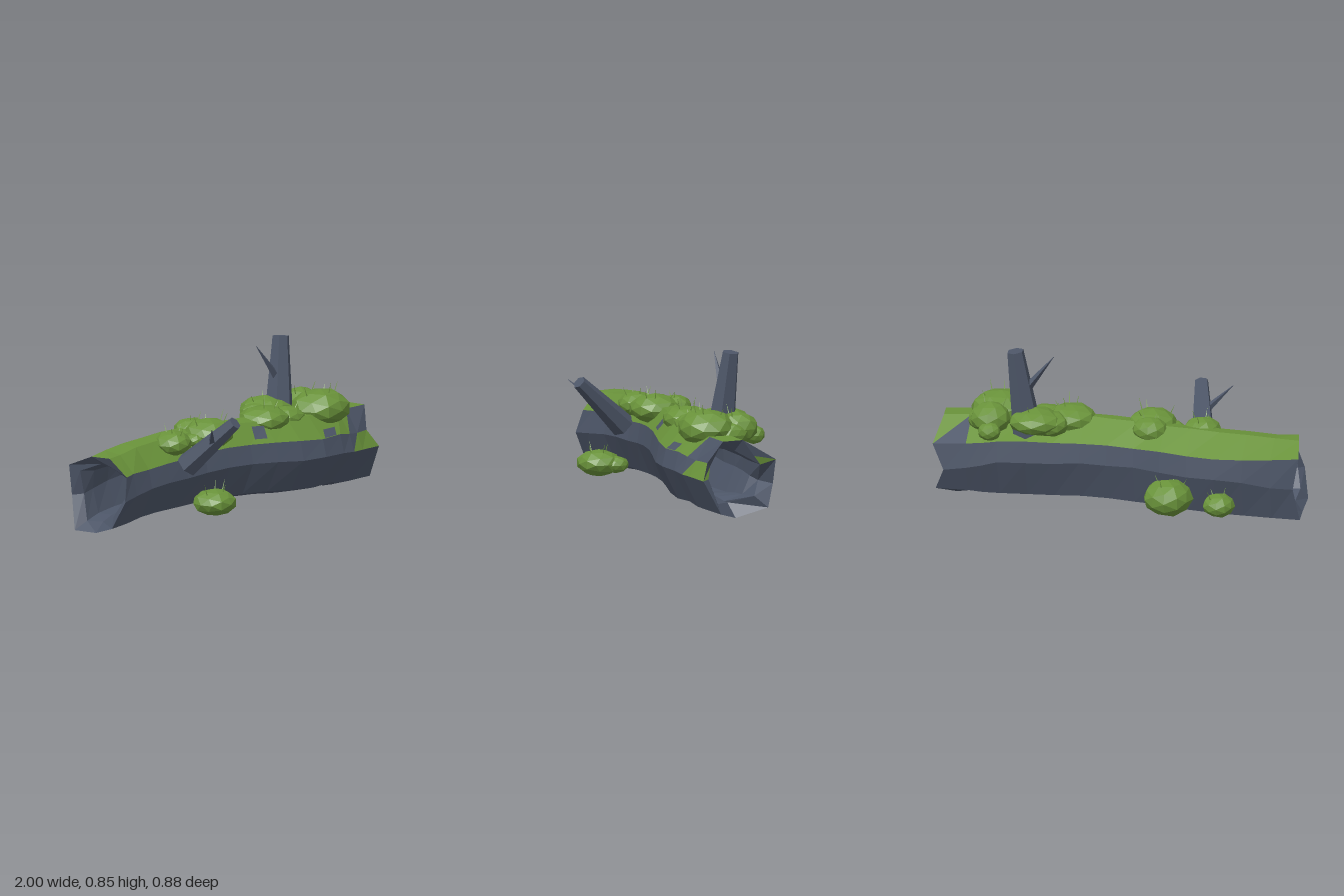
import * as THREE from 'three';

const bark = new THREE.MeshStandardMaterial({ name: 'bark grey', color: 0x4d5668, flatShading: true });
const moss = new THREE.MeshStandardMaterial({ name: 'moss green', color: 0x69923a, flatShading: true });

let seed = 7;
const rand = () => (seed = (seed * 16807) % 2147483647) / 2147483647;
const jitter = (a) => (rand() - 0.5) * 2 * a;
const { lerp, smoothstep } = THREE.MathUtils;
const mix = (a, b, t) => a.map((v, c) => lerp(v, b[c], t));

// Cross-sections of the trunk as [z offset, y], from the top over the back and round to the front edge
const LEFT = [[0.07, 0.43], [-0.04, 0.43], [-0.18, 0.37], [-0.185, 0.2], [-0.14, 0.018], [0, 0.02], [0.12, 0.06], [0.19, 0.21], [0.165, 0.335]];
const MIDDLE = [[0.09, 0.45], [0, 0.46], [-0.18, 0.36], [-0.19, 0.25], [-0.11, 0.045], [0.02, 0.04], [0.12, 0.07], [0.2, 0.24], [0.18, 0.342]];
const RIGHT = [[0.1, 0.43], [-0.02, 0.43], [-0.2, 0.32], [-0.21, 0.18], [-0.16, 0.06], [-0.01, 0], [0.12, 0.04], [0.21, 0.22], [0.165, 0.31]];
// Ragged x offsets of the broken ends
const LEFT_RAG = [0.04, 0.02, 0, 0.03, 0, 0.01, 0, 0.03, 0.07];
const RIGHT_RAG = [-0.02, -0.03, 0, -0.06, -0.01, -0.1, 0, -0.03, -0.08];
// Trunk path: x, z centre, lift, width scale
const PATH = [
  [-1, -0.03, 0, 1], [-0.85, -0.055, 0, 1], [-0.7, -0.08, 0, 1], [-0.55, -0.088, 0, 1.02], [-0.4, -0.08, 0.005, 0.98],
  [-0.25, -0.06, 0.012, 0.93], [-0.1, -0.025, 0.016, 0.9], [0.05, 0.005, 0.016, 0.92], [0.2, 0.04, 0.01, 1],
  [0.35, 0.07, 0, 1.1], [0.5, 0.09, -0.005, 1.15], [0.65, 0.09, -0.005, 1.13], [0.74, 0.088, -0.005, 1.1],
  [0.82, 0.085, -0.005, 1.06], [1, 0.08, 0, 1],
];

function section([x, zc, lift, w], inner) {
  const end = x < 0 ? LEFT : RIGHT;
  const k = smoothstep(Math.abs(x), 0.55, 1);
  const atEnd = Math.abs(x) === 1;
  return MIDDLE.map(([mz, my], j) => {
    let z = lerp(mz, end[j][0], k) * w;
    let y = lerp(my, end[j][1], k) + lift;
    let px = x;
    if (atEnd) px += (x < 0 ? LEFT_RAG : RIGHT_RAG)[j];
    else y += jitter(0.005);
    if (inner) {
      const s = atEnd ? 0.74 + jitter(0.07) : 0.68 + jitter(0.02);
      z = z * s + 0.015;
      y = 0.235 + (y - 0.235) * (s - 0.03);
      if (atEnd) px -= Math.sign(x) * (0.03 + 0.04 * rand());
    }
    return [px, y, zc + z];
  });
}

// Which of the two triangles of a trunk quad carry moss (segment i, strip j)
function mossy(i, j, n) {
  if (i === n - 1) return [j === 7, false]; // torn rim
  if (i >= n) return [false, false]; // inside
  const last = i === n - 2, beforeLast = i === n - 3;
  if (j === 0) return [true, true];
  if (j === 1) return [true, !last];
  if (j === 8) return [!last && !beforeLast, !last];
  if (j === 7) return [last || beforeLast, last];
  return [false, false];
}

function meshFrom(positions, material, name) {
  const g = new THREE.BufferGeometry();
  g.setAttribute('position', new THREE.Float32BufferAttribute(positions, 3));
  g.computeVertexNormals();
  const m = new THREE.Mesh(g, material);
  m.name = name;
  return m;
}

// Hollow trunk: outer rings, then inner rings back again, closed into a loop
function trunk() {
  const n = PATH.length, sides = MIDDLE.length;
  const rings = [...PATH.map((p) => section(p, false)), ...PATH.map((p) => section(p, true)).reverse()];
  const barkFaces = [], mossFaces = [], patchFaces = [];
  rings.forEach((ring, i) => {
    const next = rings[(i + 1) % rings.length];
    for (let j = 0; j < sides; j++) {
      const k = (j + 1) % sides;
      const [first, second] = mossy(i, j, n);
      (first ? mossFaces : barkFaces).push(...ring[j], ...next[j], ...next[k]);
      (second ? mossFaces : barkFaces).push(...ring[j], ...next[k], ...ring[k]);
    }
  });

  // Bare spots on the front slope of the moss: segment, then range along and up the slope
  for (const [i, u0, u1, v0, v1] of [[7, 0.25, 0.9, 0.2, 0.78], [10, 0.1, 0.9, 0, 0.33]]) {
    const at = (u, v) => {
      const low = mix(rings[i][8], rings[i + 1][8], u);
      const high = mix(rings[i][0], rings[i + 1][0], u);
      const [x, y, z] = mix(low, high, v);
      return [x, y + 0.004, z + 0.004];
    };
    const a = at(u0, v0), b = at(u1 - 0.15, v0), c = at(u1, v1), d = at(u0 + 0.15, v1);
    patchFaces.push(...a, ...b, ...c, ...a, ...c, ...d);
  }

  // Flap of moss hanging over the torn rim
  const outer = rings[n - 1], inner = rings[n];
  const flap = [mix(inner[2], outer[1], 0.35), inner[2], outer[2]];
  const rimMoss = meshFrom(flap.flat(), moss, 'rimMoss');
  rimMoss.position.x = 0.004;

  return [
    meshFrom(barkFaces, bark, 'hollowTrunk'),
    meshFrom(mossFaces, moss, 'mossCover'),
    meshFrom(patchFaces, bark, 'bareSpots'),
    rimMoss,
  ];
}

// Tapered rod between two points
function rod(name, from, to, r0, r1, sides, material) {
  const a = new THREE.Vector3(...from), b = new THREE.Vector3(...to);
  const d = b.clone().sub(a);
  const m = new THREE.Mesh(new THREE.CylinderGeometry(r1, r0, d.length(), sides), material);
  m.position.copy(a).add(b).multiplyScalar(0.5);
  m.quaternion.setFromUnitVectors(new THREE.Vector3(0, 1, 0), d.normalize());
  m.name = name;
  return m;
}

// Lumpy moss clump with a few thin sprouts
function clump([x, y, z, rx, ry, rz, sprouts]) {
  const g = new THREE.Group();
  g.name = 'mossClump';
  const geometry = new THREE.IcosahedronGeometry(1, 1);
  const p = geometry.attributes.position;
  const phase = rand() * 6;
  for (let i = 0; i < p.count; i++) {
    const v = new THREE.Vector3().fromBufferAttribute(p, i);
    v.multiplyScalar(1.03 + 0.05 * Math.sin(4 * v.x + phase) * Math.cos(5 * v.z - phase));
    p.setXYZ(i, v.x, v.y, v.z);
  }
  geometry.computeVertexNormals();
  const ball = new THREE.Mesh(geometry, moss);
  ball.name = 'mossBall';
  ball.scale.set(rx, ry, rz);
  ball.position.set(x, y, z);
  g.add(ball);
  for (let i = 0; i < sprouts; i++) {
    const a = i * 2.4 + rand(), r = 0.25 + 0.45 * rand();
    const dx = Math.cos(a) * r, dz = Math.sin(a) * r, dy = Math.sqrt(1 - r * r);
    const h = 0.03 + 0.04 * rand();
    const foot = [x + dx * rx, y + dy * ry - 0.01, z + dz * rz];
    const tip = [foot[0] + dx * 0.04, foot[1] + h, foot[2] + dz * 0.04];
    g.add(rod('sprout', foot, tip, 0.004, 0.0004, 3, moss));
  }
  return g;
}

export function createModel() {
  const model = new THREE.Group();
  model.name = 'mossyLog';
  model.add(...trunk());

  // Broken branches with pointed twigs
  model.add(
    rod('frontBranch', [-0.425, 0.32, 0.13], [-0.365, 0.58, 0.415], 0.068, 0.037, 6, bark),
    rod('frontTwig', [-0.41, 0.46, 0.29], [-0.54, 0.57, 0.4], 0.022, 0.001, 4, bark),
    rod('topBranch', [0.5, 0.36, -0.015], [0.563, 0.842, -0.053], 0.085, 0.046, 6, bark),
    rod('topTwig', [0.52, 0.61, -0.03], [0.355, 0.82, -0.05], 0.028, 0.001, 4, bark),
  );

  // Clumps: centre, radii, number of sprouts
  const clumps = [
    [-0.435, 0.43, 0.04, 0.1, 0.065, 0.1, 4],
    [-0.165, 0.445, 0.06, 0.13, 0.078, 0.135, 4],
    [-0.17, 0.445, -0.06, 0.095, 0.065, 0.09, 2],
    [-0.28, 0.425, 0.06, 0.055, 0.035, 0.055, 0],
    [0.28, 0.45, 0.07, 0.135, 0.07, 0.135, 4],
    [0.42, 0.44, 0.1, 0.11, 0.06, 0.1, 2],
    [0.45, 0.46, -0.06, 0.14, 0.07, 0.14, 3],
    [0.37, 0.445, -0.05, 0.095, 0.065, 0.1, 0],
    [0.67, 0.46, 0.135, 0.16, 0.098, 0.155, 4],
    [0.7, 0.455, -0.03, 0.105, 0.085, 0.11, 2],
    [0.77, 0.43, 0.03, 0.06, 0.06, 0.09, 0],
    [0.69, 0.41, -0.13, 0.06, 0.05, 0.06, 0],
    [-0.385, 0.135, 0.29, 0.115, 0.07, 0.115, 4],
    [-0.32, 0.13, 0.22, 0.06, 0.045, 0.07, 0],
    [-0.31, 0.15, -0.31, 0.13, 0.095, 0.13, 4],
    [-0.26, 0.125, -0.24, 0.08, 0.065, 0.075, 0],
    [-0.59, 0.13, -0.335, 0.085, 0.062, 0.085, 3],
  ];
  for (const c of clumps) model.add(clump(c));
  return model;
}
